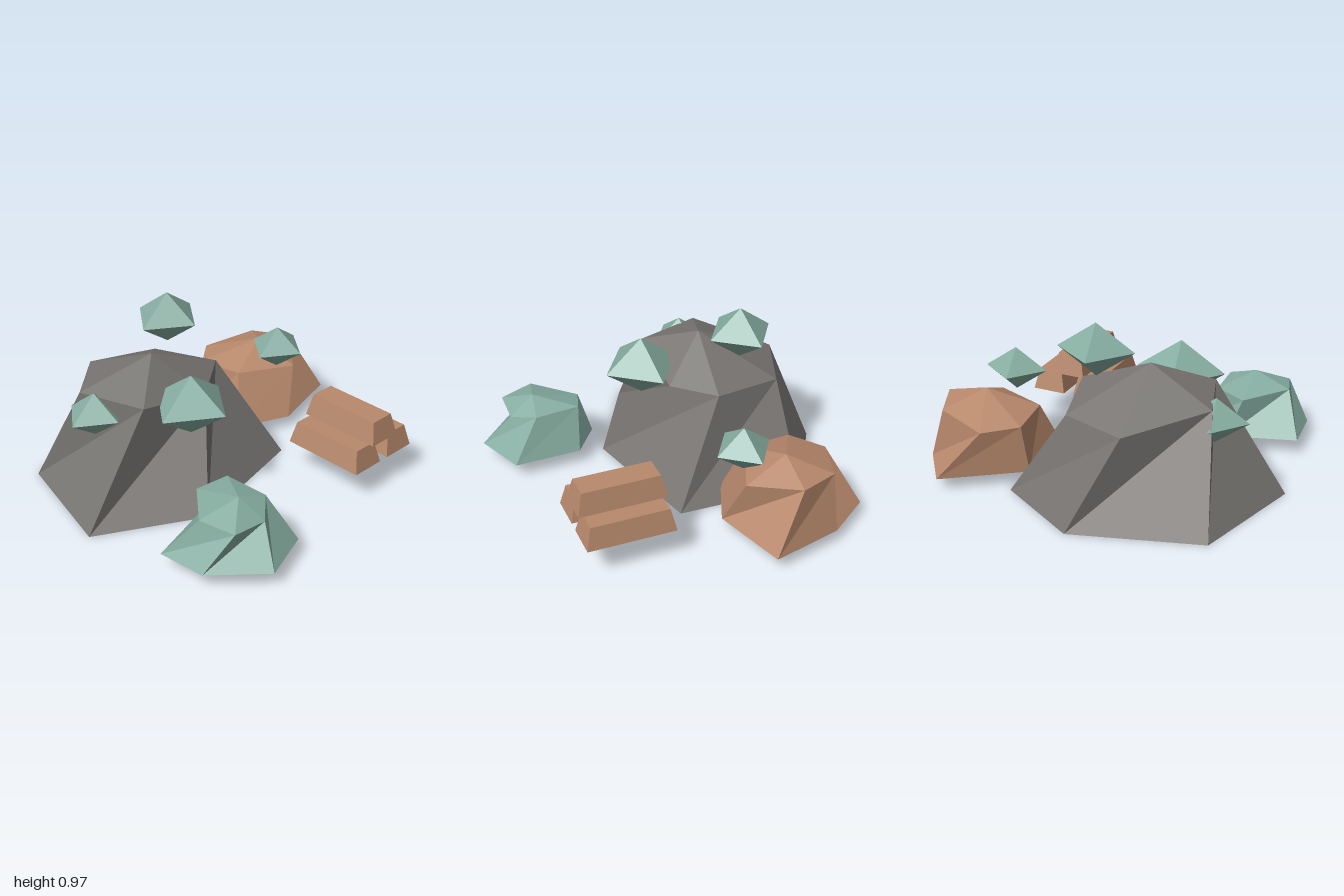
import * as THREE from 'three';

const material = (name, color) => {
  const m = new THREE.MeshStandardMaterial({ color, flatShading: true });
  m.name = name;
  return m;
};

// Faceted closed form: foot outline, shoulder ring and peak, counter-clockwise from above
function facetedGeometry(footY, foot, ring, peak) {
  const n = foot.length;
  const f = foot.map(([x, z]) => [x, footY, z]);
  const out = [];
  const tri = (...corners) => corners.forEach((c) => out.push(...c));
  for (let i = 0; i < n; i++) {
    const j = (i + 1) % n;
    tri(f[i], f[j], ring[j]);
    tri(f[i], ring[j], ring[i]);
    tri(ring[i], ring[j], peak);
    if (i > 0 && j > 0) tri(f[0], f[j], f[i]);
  }
  const g = new THREE.BufferGeometry();
  g.setAttribute('position', new THREE.Float32BufferAttribute(out, 3));
  g.computeVertexNormals();
  return g;
}

// Ingot: a box whose top is drawn in on all four sides
function ingotGeometry(width, height, length, inset) {
  const g = new THREE.BoxGeometry(width, height, length).toNonIndexed();
  const p = g.attributes.position;
  for (let i = 0; i < p.count; i++) {
    if (p.getY(i) > 0) {
      p.setX(i, p.getX(i) - Math.sign(p.getX(i)) * inset);
      p.setZ(i, p.getZ(i) - Math.sign(p.getZ(i)) * inset);
    }
  }
  g.translate(0, height / 2, 0);
  g.computeVertexNormals();
  return g;
}

export function createModel() {
  const model = new THREE.Group();
  model.name = 'orePile';
  const stone = material('grey stone', 0x787572);
  const copper = material('copper', 0xb8896c);
  const teal = material('teal mineral', 0x86ada1);

  const add = (parent, name, geometry, mat) => {
    const mesh = new THREE.Mesh(geometry, mat);
    mesh.name = name;
    parent.add(mesh);
    return mesh;
  };

  // Large boulder
  add(model, 'boulder', facetedGeometry(0,
    [[-0.48, 0.23], [0.31, 0.18], [0.45, -0.53], [0.03, -0.89], [-0.7, -0.8], [-0.99, -0.17]],
    [[-0.145, 0.52, -0.03], [0.145, 0.557, -0.17], [0.11, 0.52, -0.585],
      [-0.235, 0.525, -0.78], [-0.64, 0.6, -0.5], [-0.58, 0.6, -0.11]],
    [-0.27, 0.74, -0.3]), stone);

  // Copper nugget
  add(model, 'copperNugget', facetedGeometry(0.075,
    [[0.55, 0.07], [0.995, 0.02], [0.96, -0.39], [0.825, -0.655], [0.37, -0.435], [0.28, -0.1]],
    [[0.68, 0.345, 0.01], [0.925, 0.39, -0.185], [0.87, 0.375, -0.42],
      [0.595, 0.34, -0.57], [0.405, 0.35, -0.46], [0.39, 0.36, -0.185]],
    [0.68, 0.455, -0.24]), copper);

  // Teal nugget
  add(model, 'tealNugget', facetedGeometry(0.09,
    [[-0.78, 0.855], [-0.47, 0.795], [-0.415, 0.415], [-0.58, 0.245], [-0.98, 0.3], [-1, 0.575]],
    [[-0.67, 0.285, 0.72], [-0.525, 0.325, 0.625], [-0.5, 0.33, 0.37],
      [-0.66, 0.305, 0.29], [-0.895, 0.32, 0.48], [-0.87, 0.3, 0.68]],
    [-0.685, 0.38, 0.57]), teal);

  // Stack of three ingots
  const stack = new THREE.Group();
  stack.name = 'ingotStack';
  stack.position.set(0.36, 0.18, 0.6);
  stack.rotation.y = -0.173;
  model.add(stack);
  const ingot = ingotGeometry(0.2, 0.125, 0.49, 0.028);
  [[-0.13, 0], [0.13, 0], [0, 0.125]].forEach(([x, y], i) => {
    add(stack, `ingot${i + 1}`, ingot, copper).position.set(x, y, 0);
  });

  // Crystals: squashed octahedra
  const crystal = new THREE.OctahedronGeometry(1).scale(1, 0.705, 0.925);
  [
    [0, 0.825, -0.4, 0.21],
    [-0.355, 0.573, 0.03, 0.245],
    [0.575, 0.503, -0.04, 0.177],
    [-0.64, 0.503, -0.4, 0.177],
  ].forEach(([x, y, z, size], i) => {
    const mesh = add(model, `crystal${i + 1}`, crystal, teal);
    mesh.position.set(x, y, z);
    mesh.scale.setScalar(size);
  });

  return model;
}
